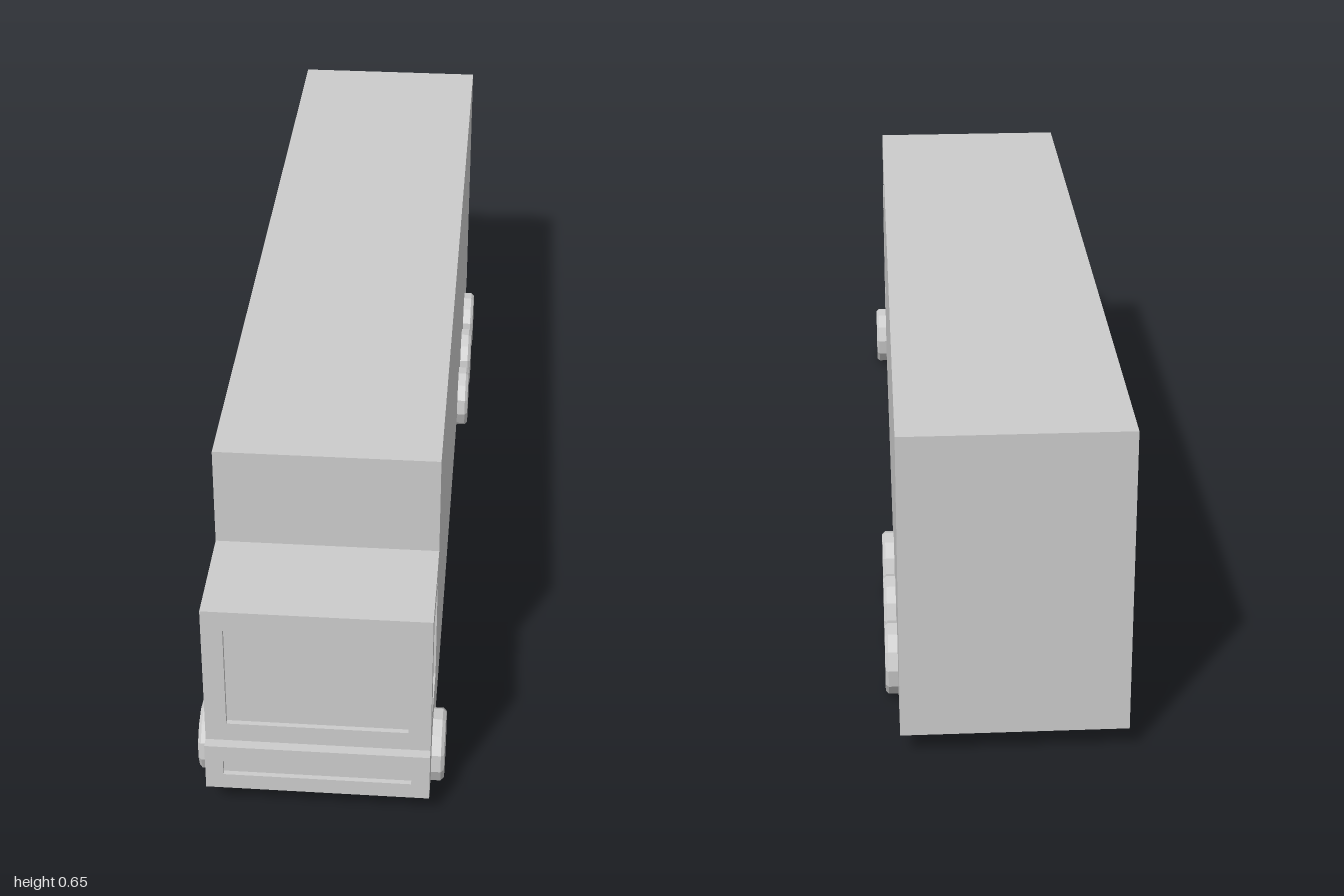
import * as THREE from 'three';

const mat = new THREE.MeshStandardMaterial({ color: 0xcccccc, flatShading: true });
const HALF = 0.21, FLOOR = 0.05, SKIN = 0.01;

function mesh(name, geometry) {
  const m = new THREE.Mesh(geometry, mat);
  m.name = name;
  return m;
}

// Box given by its lower and upper corners
function block(name, [x0, y0, z0], [x1, y1, z1]) {
  const m = mesh(name, new THREE.BoxGeometry(x1 - x0, y1 - y0, z1 - z0));
  m.position.set((x0 + x1) / 2, (y0 + y1) / 2, (z0 + z1) / 2);
  return m;
}

function rect(path, [x0, y0, x1, y1]) {
  path.moveTo(x0, y0);
  path.lineTo(x1, y0);
  path.lineTo(x1, y1);
  path.lineTo(x0, y1);
  path.closePath();
  return path;
}

// Thin panel with one rectangular opening, facing +z
function panel(name, outer, opening) {
  const shape = rect(new THREE.Shape(), outer);
  shape.holes.push(rect(new THREE.Path(), opening));
  return mesh(name, new THREE.ExtrudeGeometry(shape, { depth: SKIN, bevelEnabled: false }));
}

export function createModel() {
  const truck = new THREE.Group();
  truck.name = 'truck';

  // Cargo body
  truck.add(block('cargoBody', [-HALF, FLOOR, -1], [HALF, 0.65, 0.765]));

  // Cab: a core wrapped in panels, so the windows are recessed
  const cab = new THREE.Group();
  cab.name = 'cab';
  const inner = HALF - SKIN;
  cab.add(block('cabCore', [-inner, FLOOR, 0.765], [inner, 0.45, 0.97]));
  const front = panel('windscreenPanel', [-inner, FLOOR, inner, 0.45], [-0.17, 0.19, 0.168, 0.408]);
  front.position.z = 0.97;
  cab.add(front);
  for (const side of [1, -1]) {
    const span = (a, b) => (side > 0 ? [-b, -a] : [a, b]);
    const [a, b] = span(0.765, 0.98);
    const [c, d] = span(0.805, 0.935);
    const door = panel(side > 0 ? 'leftDoorPanel' : 'rightDoorPanel', [a, FLOOR, b, 0.45], [c, 0.19, d, 0.41]);
    door.rotation.y = side * Math.PI / 2;
    door.position.x = side * inner;
    cab.add(door);
  }
  truck.add(cab);

  // Bumper with a recessed slot
  const bumper = new THREE.Group();
  bumper.name = 'bumper';
  bumper.add(block('bumperCore', [-HALF, FLOOR, 0.98], [HALF, 0.15, 0.99]));
  const face = panel('bumperFace', [-HALF, FLOOR, HALF, 0.15], [-0.176, 0.083, 0.176, 0.115]);
  face.position.z = 0.99;
  bumper.add(face);
  truck.add(bumper);

  // Twelve-sided wheels with chamfered rims
  const r = 0.07, w = 0.035, c = 0.006;
  const profile = [[0, -w], [r - c, -w], [r, c - w], [r, w - c], [r - c, w], [0, w]]
    .map(([x, y]) => new THREE.Vector2(x, y));
  const wheelGeometry = new THREE.LatheGeometry(profile, 12, THREE.MathUtils.degToRad(-22));
  wheelGeometry.rotateZ(-Math.PI / 2);
  [0.87, -0.39, -0.575, -0.76].forEach((z, i) => {
    for (const side of [1, -1]) {
      const wheel = mesh((side > 0 ? 'left' : 'right') + (i ? 'RearWheel' + i : 'FrontWheel'), wheelGeometry);
      wheel.position.set(side * 0.199, 0.071, z);
      truck.add(wheel);
    }
  });

  return truck;
}
